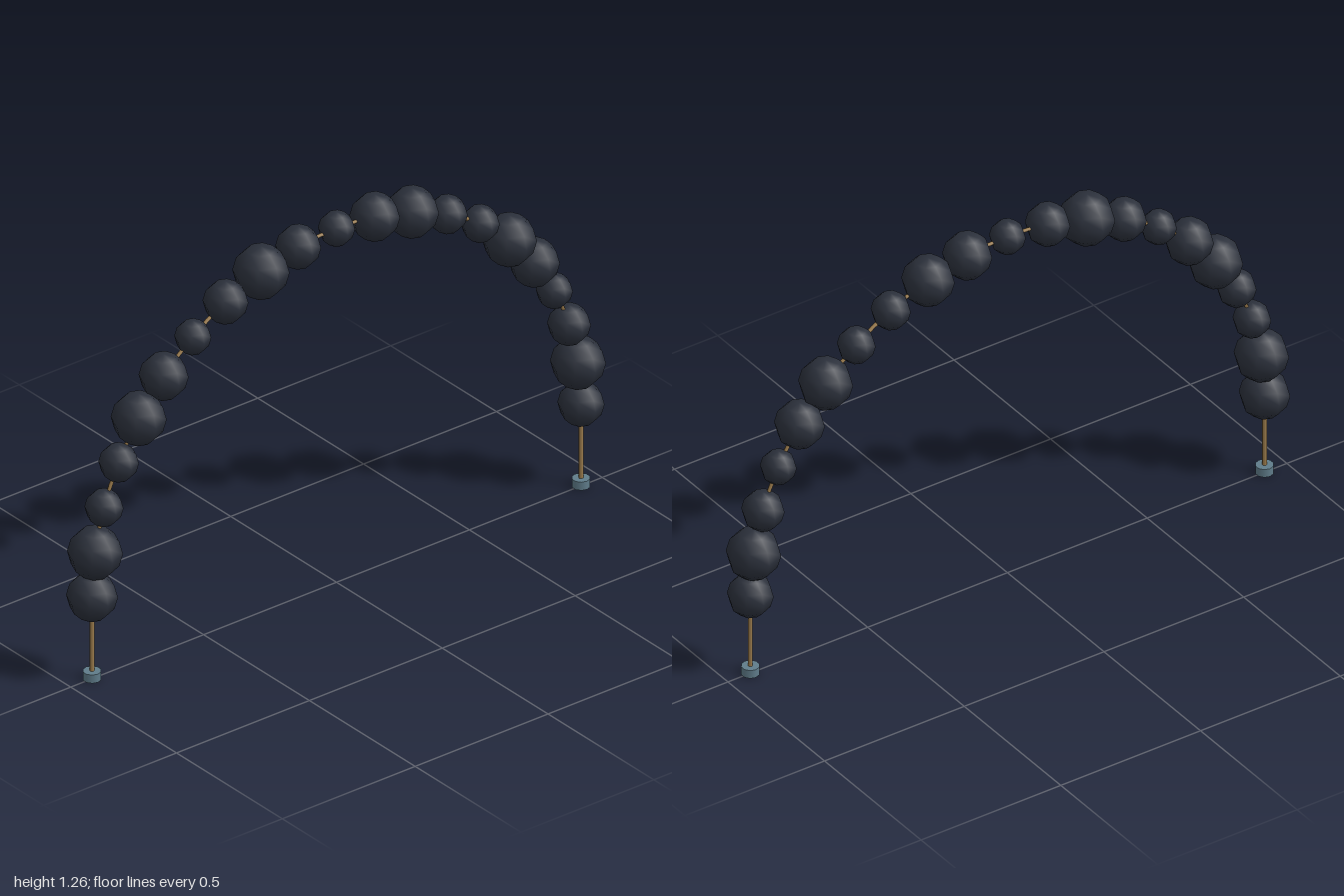
import * as THREE from 'three';

const SPAN = 0.92; // arch radius
const SPRING = 0.28; // height where the arch begins

export function createModel() {
  const group = new THREE.Group();
  group.name = 'balloonArch';
  const balloonMat = new THREE.MeshStandardMaterial({ color: 0x2b303b });
  const wireMat = new THREE.MeshStandardMaterial({ color: 0x9c7c4c });
  const footMat = new THREE.MeshStandardMaterial({ color: 0x607d8b });

  const add = (name, geometry, material, x, y) => {
    const mesh = new THREE.Mesh(geometry, material);
    mesh.name = name;
    mesh.position.set(x, y, 0);
    group.add(mesh);
    return mesh;
  };

  // Balloons, evenly spaced along a half circle from right to left
  const radii = [
    0.077, 0.083, 0.058, 0.06, 0.083, 0.074, 0.055, 0.068, 0.085, 0.068, 0.055,
    0.075, 0.08, 0.06, 0.058, 0.082, 0.076, 0.055, 0.065, 0.083, 0.07,
  ];
  const balloonGeo = new THREE.SphereGeometry(1, 8, 6);
  radii.forEach((r, i) => {
    const a = Math.PI * (1 - i / (radii.length - 1));
    const x = SPAN * Math.cos(a);
    const y = SPRING + SPAN * Math.sin(a);
    add('balloon' + (i + 1), balloonGeo, balloonMat, x, y).scale.setScalar(r);
  });

  // Curved wire through the balloons
  add('archWire', new THREE.TorusGeometry(SPAN, 0.006, 6, 40, Math.PI), wireMat, 0, SPRING);

  // Straight legs and their feet
  const legGeo = new THREE.CylinderGeometry(0.007, 0.007, SPRING, 8);
  const footGeo = new THREE.CylinderGeometry(0.028, 0.028, 0.028, 10);
  for (const [side, s] of [['left', 1], ['right', -1]]) {
    add(side + 'Leg', legGeo, wireMat, s * SPAN, SPRING / 2);
    add(side + 'Foot', footGeo, footMat, s * SPAN, 0.014);
  }
  return group;
}
